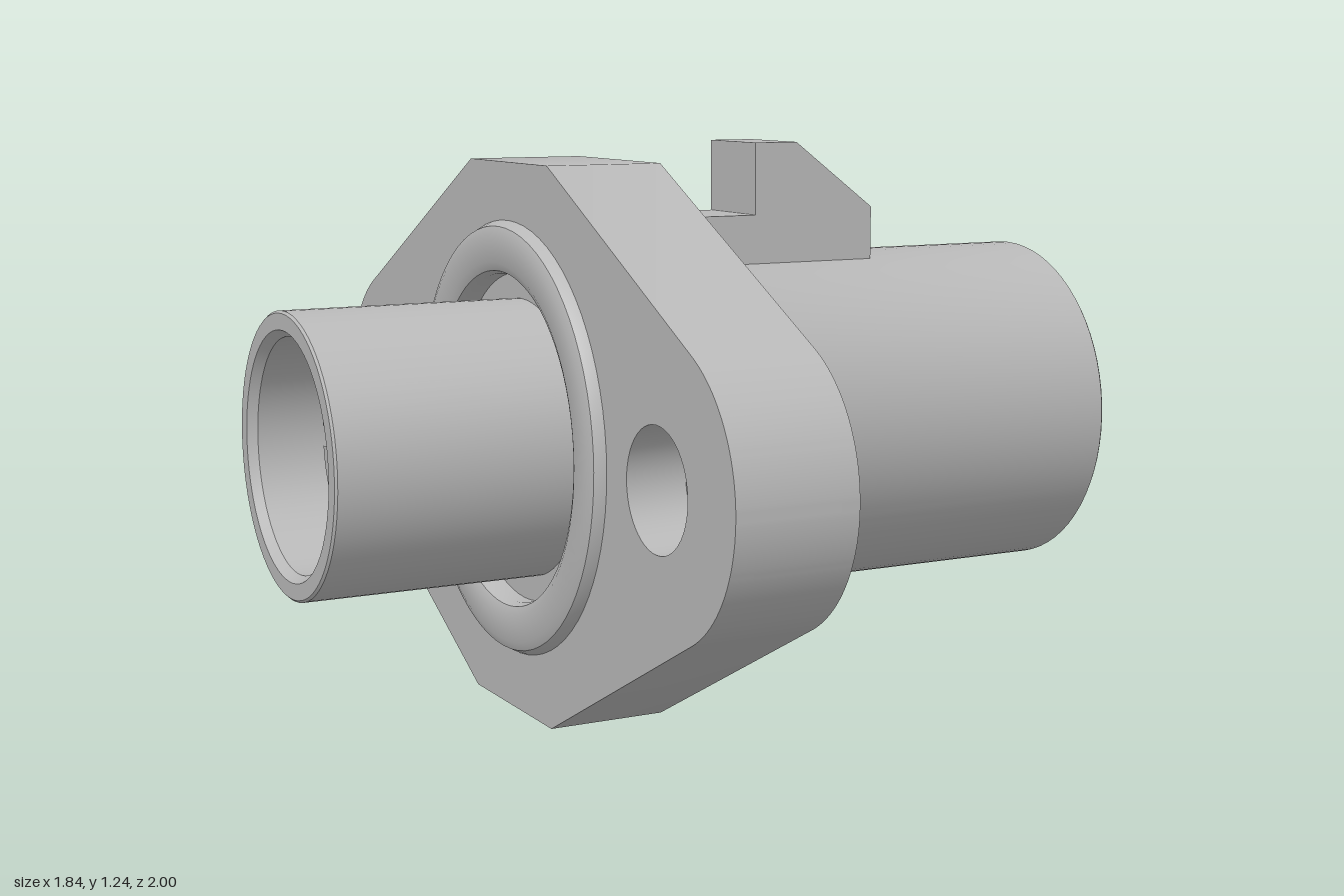
import * as THREE from 'three';
import { toCreasedNormals } from 'three/addons/utils/BufferGeometryUtils.js';

const AXIS_Y = 0.605;

export function createModel() {
  const model = new THREE.Group();
  model.name = 'flangedConnector';
  const grey = new THREE.MeshStandardMaterial({ color: 0xb8b8b8 });
  grey.name = 'grey';

  const add = (name, geometry, y = AXIS_Y, z = 0) => {
    const mesh = new THREE.Mesh(toCreasedNormals(geometry, 0.6), grey);
    mesh.name = name;
    mesh.position.set(0, y, z);
    model.add(mesh);
    return mesh;
  };

  // Turned part along x from [radius, x] pairs
  const turn = (points, segments = 72, start = 0, sweep = Math.PI * 2) =>
    new THREE.LatheGeometry(points.map(([r, x]) => new THREE.Vector2(r, x)), segments, start, sweep)
      .rotateZ(-Math.PI / 2);

  const circle = (x, r) => new THREE.Path().absarc(x, 0, r, 0, Math.PI * 2, true);

  // Mounting flange: flat top and bottom, rounded ends, bolt holes
  const a = 1.098, c = 0.69, r = 0.31;
  const outline = new THREE.Shape();
  outline.moveTo(-0.2, -0.604);
  outline.lineTo(0.2, -0.604);
  outline.absarc(c, 0, r, -a, a, false);
  outline.lineTo(0.2, 0.6);
  outline.lineTo(-0.2, 0.6);
  outline.absarc(-c, 0, r, Math.PI - a, Math.PI + a, false);
  outline.closePath();
  outline.holes.push(circle(0, 0.47), circle(c, 0.215), circle(-c, 0.215));
  const flange = new THREE.ExtrudeGeometry(outline, { depth: 0.265, bevelEnabled: false, curveSegments: 36 });
  add('flange', flange.rotateY(Math.PI / 2).translate(-0.41, 0, 0));

  // Counterbored bolt holes
  for (const side of [-1, 1]) {
    add('boltHole', turn([
      [0.217, -0.145], [0.205, -0.155], [0.205, -0.27], [0.135, -0.27],
      [0.127, -0.278], [0.127, -0.41], [0.217, -0.41],
    ], 48), AXIS_Y, side * c);
  }

  // Rear tube, sealing ring with groove, and front barrel
  add('body', turn([
    [0, -0.5], [0.25, -0.5], [0.25, -0.9], [0.265, -0.92], [0.3, -0.92], [0.305, -0.915],
    [0.305, -0.38], [0.36, -0.38], [0.36, -0.415], [0.367, -0.432], [0.385, -0.44],
    [0.445, -0.44], [0.463, -0.433], [0.475, -0.41], [0.475, -0.145], [0.41, -0.145],
    [0.39, -0.135], [0.38, -0.115], [0.38, 0.91], [0.375, 0.915], [0.35, 0.915],
    [0.32, 0.87], [0.315, 0], [0, 0],
  ]));

  // Coaxial contact inside the barrel
  add('contactSleeve', turn([
    [0.185, -0.01], [0.185, 0.68], [0.17, 0.7], [0.16, 0.7], [0.145, 0.68],
    [0.145, 0.6], [0.125, 0.6], [0.12, 0.62], [0.05, 0.62], [0.05, 0.5], [0, 0.5],
  ]));
  add('contactPin', turn([[0.025, 0.49], [0.025, 0.64], [0.015, 0.66], [0, 0.66]], 24));

  // Spring fingers and pin inside the rear tube
  const fingers = 6, step = Math.PI * 2 / fingers;
  for (let i = 0; i < fingers; i++) {
    const finger = turn([
      [0.18, -0.49], [0.18, -0.7], [0.195, -0.76], [0.225, -0.76], [0.225, -0.72],
      [0.21, -0.69], [0.21, -0.49],
    ], 10, i * step + 0.1, step - 0.2);
    add('springFinger', finger);
  }
  // Slot walls closing the sides of each finger
  const wall = new THREE.Shape();
  [[-0.49, 0.18], [-0.7, 0.18], [-0.76, 0.195], [-0.76, 0.225], [-0.72, 0.225], [-0.69, 0.21], [-0.49, 0.21]]
    .forEach(([x, y], i) => (i ? wall.lineTo(x, y) : wall.moveTo(x, y)));
  for (let i = 0; i < fingers; i++) {
    for (const offset of [0.1, step - 0.1]) {
      const geometry = new THREE.ExtrudeGeometry(wall, { depth: 0.004, bevelEnabled: false });
      geometry.translate(0, 0, offset < 0.2 ? -0.004 : 0);
      add('fingerEdge', geometry.rotateX(Math.PI / 2 - (i * step + offset) + Math.PI / 2));
    }
  }
  add('rearPin', turn([[0, -0.68], [0.025, -0.66], [0.04, -0.62], [0.04, -0.49]], 24));

  // Locking tab on top of the barrel
  const tab = new THREE.Shape();
  [[-0.16, 0.955], [0.45, 0.955], [0.45, 1.09], [0.25, 1.24], [0.145, 1.24], [0.145, 1.08], [-0.16, 1.08]]
    .forEach(([x, y], i) => (i ? tab.lineTo(x, y) : tab.moveTo(x, y)));
  const tabGeometry = new THREE.ExtrudeGeometry(tab, { depth: 0.204, bevelEnabled: false });
  add('lockingTab', tabGeometry.translate(0, 0, -0.102), 0);

  return model;
}
